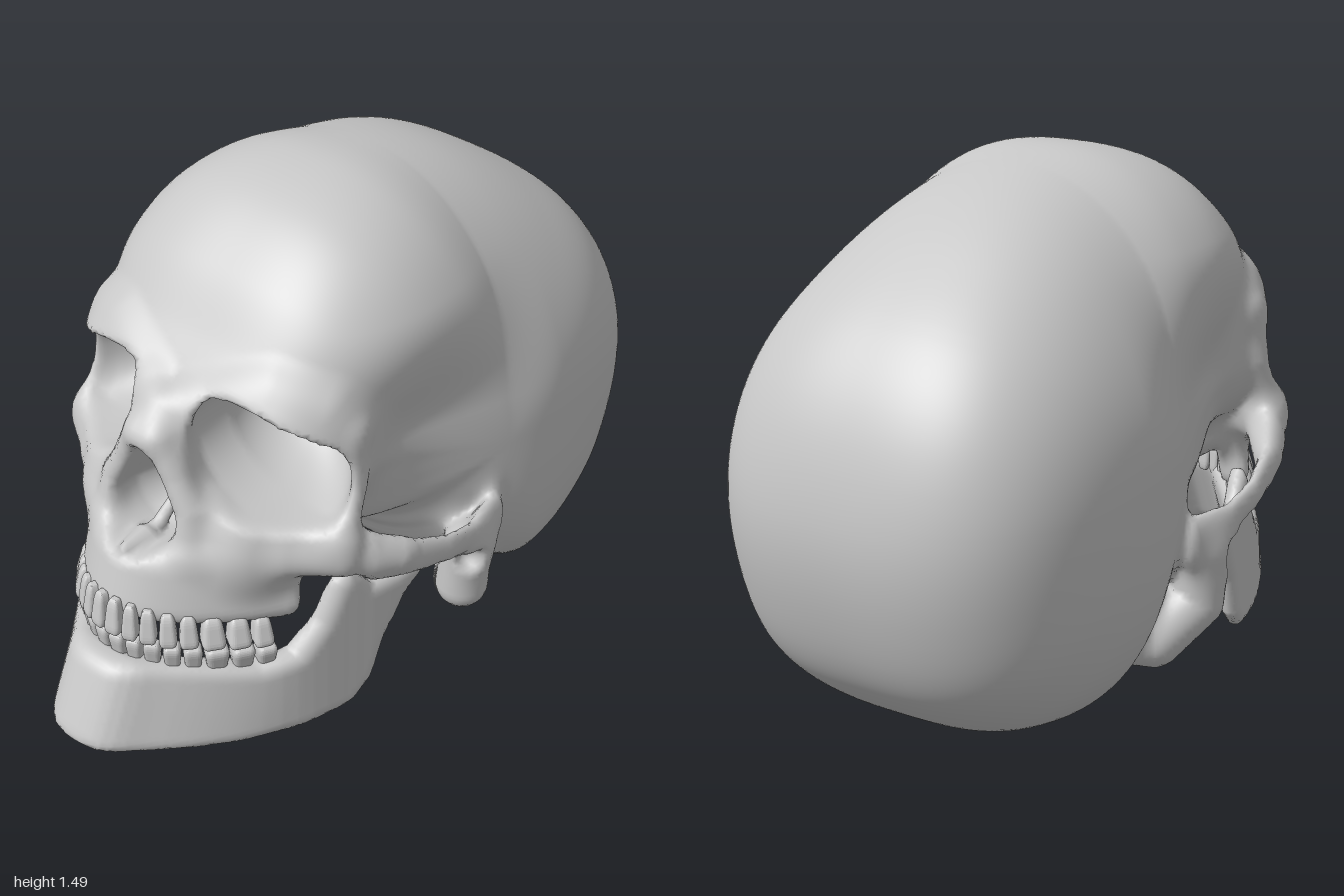
import * as THREE from 'three';
import { RoundedBoxGeometry } from 'three/addons/geometries/RoundedBoxGeometry.js';

// ---- small shape helpers: distance-like fields, negative inside ----
const clamp = (v, a, b) => Math.min(b, Math.max(a, v));
const ramp = (a, b, v) => { const t = clamp((v - a) / (b - a), 0, 1); return t * t * (3 - 2 * t); };
const blend = (a, b, k) => { const h = Math.max(k - Math.abs(a - b), 0) / k; return Math.min(a, b) - h * h * k / 4; };
const cut = (a, b, k) => -blend(-a, -b, k);

function ellipsoid(x, y, z, rx, ry, rz) {
  const k0 = Math.sqrt((x / rx) ** 2 + (y / ry) ** 2 + (z / rz) ** 2);
  const k1 = Math.sqrt((x / rx ** 2) ** 2 + (y / ry ** 2) ** 2 + (z / rz ** 2) ** 2);
  return k1 < 1e-6 ? -Math.min(rx, ry, rz) : k0 * (k0 - 1) / k1;
}

// tapered rod through points [x, y, z, radius]; sy < 1 makes it taller than thick
function rod(points, sy = 1) {
  return (x, y, z) => {
    let best = 1e9;
    for (let i = 0; i + 1 < points.length; i++) {
      const a = points[i], b = points[i + 1];
      const dx = b[0] - a[0], dy = (b[1] - a[1]) * sy, dz = b[2] - a[2];
      const px = x - a[0], py = (y - a[1]) * sy, pz = z - a[2];
      const t = clamp((px * dx + py * dy + pz * dz) / (dx * dx + dy * dy + dz * dz), 0, 1);
      const d = Math.sqrt((px - t * dx) ** 2 + (py - t * dy) ** 2 + (pz - t * dz) ** 2);
      best = Math.min(best, d - a[3] - t * (b[3] - a[3]));
    }
    return best;
  };
}

// signed distance to a closed 2D outline
function outline(u, v, pts) {
  let d = 1e9, inside = false;
  for (let i = 0, j = pts.length - 1; i < pts.length; j = i++) {
    const [ax, ay] = pts[i], [bx, by] = pts[j];
    const ex = bx - ax, ey = by - ay, wx = u - ax, wy = v - ay;
    const t = clamp((wx * ex + wy * ey) / (ex * ex + ey * ey), 0, 1);
    d = Math.min(d, Math.hypot(wx - ex * t, wy - ey * t));
    if ((ay > v) !== (by > v) && u < ex * (v - ay) / ey + ax) inside = !inside;
  }
  return inside ? -d : d;
}

// skin a field with quads: one vertex per crossed cell, smooth normals from the slope
function skin(field, lo, hi, h) {
  const n = lo.map((l, a) => Math.ceil((hi[a] - l) / h) + 1);
  const stride = [1, n[0], n[0] * n[1]];
  const val = new Float32Array(n[0] * n[1] * n[2]), id = new Int32Array(val.length);
  const pos = [], nor = [], index = [];
  const each = (start, end, fn) => {
    for (let k = start; k < n[2] - end; k++) for (let j = start; j < n[1] - end; j++)
      for (let i = start; i < n[0] - end; i++) fn(i + j * stride[1] + k * stride[2], i, j, k);
  };
  each(0, 0, (c, i, j, k) => { val[c] = field(lo[0] + i * h, lo[1] + j * h, lo[2] + k * h); });
  each(0, 1, (c, i, j, k) => {
    let count = 0;
    const p = [0, 0, 0];
    for (let b = 0; b < 8; b++) {
      const bit = [b & 1, (b >> 1) & 1, b >> 2];
      const q = c + bit[0] + bit[1] * stride[1] + bit[2] * stride[2];
      for (let a = 0; a < 3; a++) {
        if (bit[a]) continue;
        const v0 = val[q], v1 = val[q + stride[a]];
        if ((v0 < 0) === (v1 < 0)) continue;
        for (let m = 0; m < 3; m++) p[m] += bit[m] + (m === a ? v0 / (v0 - v1) : 0);
        count++;
      }
    }
    if (!count) return;
    id[c] = pos.length / 3;
    const x = lo[0] + (i + p[0] / count) * h, y = lo[1] + (j + p[1] / count) * h, z = lo[2] + (k + p[2] / count) * h;
    const e = 0.008;
    const g = new THREE.Vector3(field(x + e, y, z) - field(x - e, y, z),
      field(x, y + e, z) - field(x, y - e, z), field(x, y, z + e) - field(x, y, z - e)).normalize();
    pos.push(x, y, z);
    nor.push(g.x, g.y, g.z);
  });
  each(1, 1, (c) => {
    for (let a = 0; a < 3; a++) {
      const inside = val[c] < 0;
      if (inside === (val[c + stride[a]] < 0)) continue;
      const u = stride[(a + 1) % 3], w = stride[(a + 2) % 3];
      const q = [id[c - u - w], id[c - w], id[c], id[c - u]];
      if (!inside) q.reverse();
      index.push(q[0], q[1], q[2], q[0], q[2], q[3]);
    }
  });
  const geo = new THREE.BufferGeometry();
  geo.setAttribute('position', new THREE.Float32BufferAttribute(pos, 3));
  geo.setAttribute('normal', new THREE.Float32BufferAttribute(nor, 3));
  geo.setIndex(index);
  return geo;
}

// ---- braincase: side profile [z, y] turned into radius by angle, then given width ----
const CY = 0.7, CZ = -0.2, BINS = 512;
const profile = [[0, 1.49], [0.2, 1.445], [0.36, 1.33], [0.47, 1.19], [0.56, 1.06], [0.57, 0.95], [0.48, 0.82],
  [0.4, 0.68], [0.3, 0.55], [0.12, 0.49], [0.02, 0.38], [-0.1, 0.23], [-0.25, 0.13], [-0.35, 0.06], [-0.45, 0.005],
  [-0.6, 0.02], [-0.72, 0.07], [-0.88, 0.21], [-0.97, 0.42], [-1, 0.66], [-0.94, 0.93], [-0.82, 1.12],
  [-0.61, 1.29], [-0.4, 1.405], [-0.18, 1.47]];
function radiusTable() {
  const sum = new Float64Array(BINS), hits = new Float64Array(BINS);
  const curve = new THREE.CatmullRomCurve3(profile.map(([z, y]) => new THREE.Vector3(z - CZ, y - CY, 0)), true);
  for (const p of curve.getPoints(8000)) {
    const b = Math.floor((Math.atan2(p.y, p.x) / (2 * Math.PI) + 1) % 1 * BINS) % BINS;
    sum[b] += p.length();
    hits[b]++;
  }
  return sum.map((s, i) => s / Math.max(hits[i], 1));
}
const radii = radiusTable();
function braincase(x, y, z) {
  const dy = y - CY, dz = z - CZ, len = Math.hypot(dy, dz) + 1e-6;
  const f = (Math.atan2(dy, dz) / (2 * Math.PI) + 1) % 1 * BINS - 0.5 + BINS;
  const i = Math.floor(f), t = f - i;
  const rho = len / (radii[i % BINS] * (1 - t) + radii[(i + 1) % BINS] * t);
  // round roof, squarer back, base and forehead
  const forehead = 0.6 + 0.7 * ramp(0.85, 1.05, y);
  const p = 2.12 + Math.max(0, -dz / len) ** 2 + 0.9 * Math.max(0, -dy / len) ** 2 + forehead * Math.max(0, dz / len);
  // narrower upward, with hollow temples
  const width = 0.58 - 0.02 * ramp(0.7, 1.2, y) - 0.13 * ramp(-0.4, 0.16, z) * ramp(1.25, 0.85, y);
  return (Math.pow(Math.pow(x / width, p) + Math.pow(rho, p), 1 / p) - 1) * 0.6;
}

// ---- facial bones, given for the +x side and mirrored ----
const brow = rod([[0.412, 1, 0.35, 0.035], [0.37, 1.07, 0.385, 0.035], [0.25, 1.1, 0.445, 0.035], [0.11, 1.035, 0.53, 0.045], [0, 1, 0.6, 0.045]]);
const outerRim = rod([[0.415, 1, 0.355, 0.037], [0.442, 0.85, 0.365, 0.033], [0.445, 0.72, 0.42, 0.05]]);
const lowerRim = rod([[0.44, 0.71, 0.43, 0.04], [0.28, 0.71, 0.52, 0.04], [0.14, 0.76, 0.6, 0.04]]);
const noseSide = rod([[0.135, 0.66, 0.67, 0.045], [0.128, 0.77, 0.65, 0.042], [0.085, 0.86, 0.652, 0.036], [0.035, 0.96, 0.66, 0.036]]);
const bridge = rod([[0, 1.01, 0.6, 0.045], [0, 0.955, 0.66, 0.042]]);
const cheek = rod([[0.34, 0.65, 0.5, 0.06], [0.45, 0.65, 0.42, 0.06], [0.53, 0.61, 0.29, 0.035]]);
const arch = rod([[0.5, 0.62, 0.35, 0.033], [0.55, 0.59, 0.25, 0.026], [0.576, 0.55, 0.12, 0.02], [0.57, 0.515, 0, 0.02], [0.535, 0.49, -0.14, 0.03]], 0.46);
const mastoid = rod([[0.52, 0.42, -0.04, 0.068], [0.505, 0.28, -0.05, 0.075], [0.43, 0.185, -0.15, 0.08], [0.36, 0.19, -0.24, 0.06]]);
const pterygoid = rod([[0.14, 0.56, 0.35, 0.05], [0.15, 0.42, 0.37, 0.035]]);
const noseHole = rod([[0, 0.745, 0, 0.108], [0, 0.915, 0, 0.02]]);
const septum = rod([[0, 0.65, 0.64, 0.022], [0, 0.71, 0.56, 0.016], [0, 0.78, 0.48, 0.014]]);
const spine = rod([[0, 0.64, 0.69, 0.035], [0, 0.65, 0.765, 0.016]]);

function skull(sx, y, z) {
  const x = Math.abs(sx);
  let d = blend(braincase(x, y, z), ellipsoid(x - 0.25, y - 0.89, z - 0.38, 0.21, 0.24, 0.23), 0.08);
  d = blend(d, ellipsoid(x - 0.05, y - 0.86, z - 0.5, 0.11, 0.21, 0.15), 0.05); // wall between the sockets
  d = blend(d, brow(x, y, z), 0.08);
  d = blend(d, outerRim(x, y, z), 0.04);
  d = blend(d, lowerRim(x, y, z), 0.06);
  d = blend(d, noseSide(x, y, z), 0.05);
  d = blend(d, bridge(x, y, z), 0.05);
  d = blend(d, ellipsoid(x - 0.19, y - 0.64, z - 0.5, 0.16, 0.17, 0.17), 0.06);
  d = blend(d, cheek(x, y, z), 0.06);
  d = blend(d, arch(x, y, z), 0.04);
  d = blend(d, mastoid(x, y, z), 0.08);
  d = blend(d, pterygoid(x, y, z), 0.05);
  // upper jaw and hollow palate
  const g = (z + 0.3 * (y - 0.52) - 0.832 + 2.7 * x * x) / Math.sqrt(1 + (5.4 * x) ** 2);
  const floor = 0.465 - 0.15 * (0.8 - z);
  d = blend(d, cut(cut(g, Math.max(floor - y, y - 0.67), 0.06), 0.46 - z, 0.05), 0.05);
  d = cut(d, -Math.max(g + 0.1, y - 0.54, 0.42 - z), 0.03);
  // eye sockets
  const ex = (x - 0.268 + 0.4 * Math.max(0, 0.42 - z) - 0.6 * Math.max(0, z - 0.55)) / 0.205;
  const ey = (y - 0.915 + 0.25 * (x - 0.27)) / 0.156, ez = (z - 0.52) / 0.33;
  const socket = Math.pow(Math.abs(ex) ** 2.4 + Math.abs(ey) ** 2.4 + Math.abs(ez) ** 2.4, 1 / 2.4) - 1;
  d = cut(d, -socket * 0.17, 0.03);
  // nose opening, ear canals and spinal opening
  d = cut(d, -Math.max(noseHole(x, y, 0) + 0.3 * Math.max(0, 0.6 - z), 0.45 - z), 0.025);
  d = cut(d, -ellipsoid(x - 0.58, y - 0.42, z, 0.05, 0.035, 0.03), 0.03);
  d = cut(d, -ellipsoid(x, y - 0.15, z + 0.17, 0.09, 0.1, 0.1), 0.04);
  return Math.min(blend(d, spine(x, y, z), 0.03), septum(x, y, z));
}

// ---- lower jaw: a V-shaped wall trimmed to the side outline [z, y] ----
const jawSide = [[1.08, 0.13], [0.95, 0.11], [0.68, 0.06], [0.5, 0.038], [0.34, 0.04], [0.27, 0.1], [0.23, 0.22], [0.16, 0.345],
  [0.08, 0.42], [0.07, 0.475], [0.13, 0.475], [0.2, 0.452], [0.27, 0.452], [0.31, 0.505], [0.35, 0.54], [0.39, 0.5],
  [0.44, 0.39], [0.51, 0.31], [0.6, 0.3], [0.85, 0.36], [1.08, 0.375]];
const jawPlan = new THREE.CatmullRomCurve3([[-0.06, 0.935], [0, 0.947], [0.06, 0.935], [0.13, 0.85], [0.25, 0.67], [0.35, 0.5], [0.41, 0.33], [0.46, 0.1], [0.47, 0]]
  .map(([x, z]) => new THREE.Vector3(x, 0, z))).getPoints(32).map((p) => [p.x, 0, p.z, 0]);
const jawWall = rod(jawPlan);
function jaw(sx, y, z) {
  const lean = 0.45 * clamp(y - 0.17, -0.1, 0.2) * ramp(0.5, 0.85, z);
  const thick = 0.03 + 0.02 * ramp(0.3, 0.7, z);
  return cut(jawWall(Math.abs(sx), 0, z + lean) - thick, outline(z, y, jawSide), 0.045);
}

// ---- one tooth: rounded block, crown down, narrowing to the root ----
function toothGeometry() {
  const geo = new RoundedBoxGeometry(1, 1, 1, 3, 0.28), p = geo.attributes.position;
  for (let i = 0; i < p.count; i++) {
    const t = p.getY(i) + 0.5;
    p.setX(i, p.getX(i) * (1 - 0.35 * t));
    p.setZ(i, p.getZ(i) * (1 - 0.3 * t) - 0.25 * t);
  }
  geo.computeVertexNormals();
  return geo;
}

function teethRow(name, geo, material, lower) {
  const row = new THREE.Group();
  row.name = name;
  const front = lower ? 0.838 : 0.85;
  for (const side of [-1, 1]) {
    let x = 0;
    [0.05, 0.046, 0.05, 0.052, 0.055, 0.07, 0.068, 0.06].forEach((w, i) => {
      const step = () => { x += w / 2 / Math.sqrt(1 + (5.8 * x) ** 2); };
      step();
      const z = front - 2.9 * x * x, bite = 0.425 - 0.22 * (0.86 - z);
      const height = lower ? 0.1 : 0.11 - 0.003 * i;
      const tooth = new THREE.Mesh(geo, material);
      tooth.name = 'tooth';
      tooth.scale.set(w * 1.04, height, i < 3 ? 0.045 : i < 5 ? 0.058 : 0.07);
      tooth.position.set(side * x, bite + (lower ? -1 : 1) * (height / 2 + 0.003), z);
      tooth.rotation.set(0, Math.atan2(side * 5.8 * x, 1), lower ? Math.PI : 0);
      row.add(tooth);
      step();
    });
  }
  return row;
}

export function createModel() {
  const model = new THREE.Group();
  model.name = 'skull';
  const bone = new THREE.MeshStandardMaterial({ color: 0xc8c8c8 });
  bone.name = 'bone grey';
  const add = (name, geo) => {
    const mesh = new THREE.Mesh(geo, bone);
    mesh.name = name;
    model.add(mesh);
  };
  add('cranium', skin(skull, [-0.68, -0.06, -1.06], [0.68, 1.56, 0.9], 0.016));
  add('lowerJaw', skin(jaw, [-0.56, -0.04, -0.02], [0.56, 0.6, 1.07], 0.016));
  const tooth = toothGeometry();
  model.add(teethRow('upperTeeth', tooth, bone, false), teethRow('lowerTeeth', tooth, bone, true));
  return model;
}
